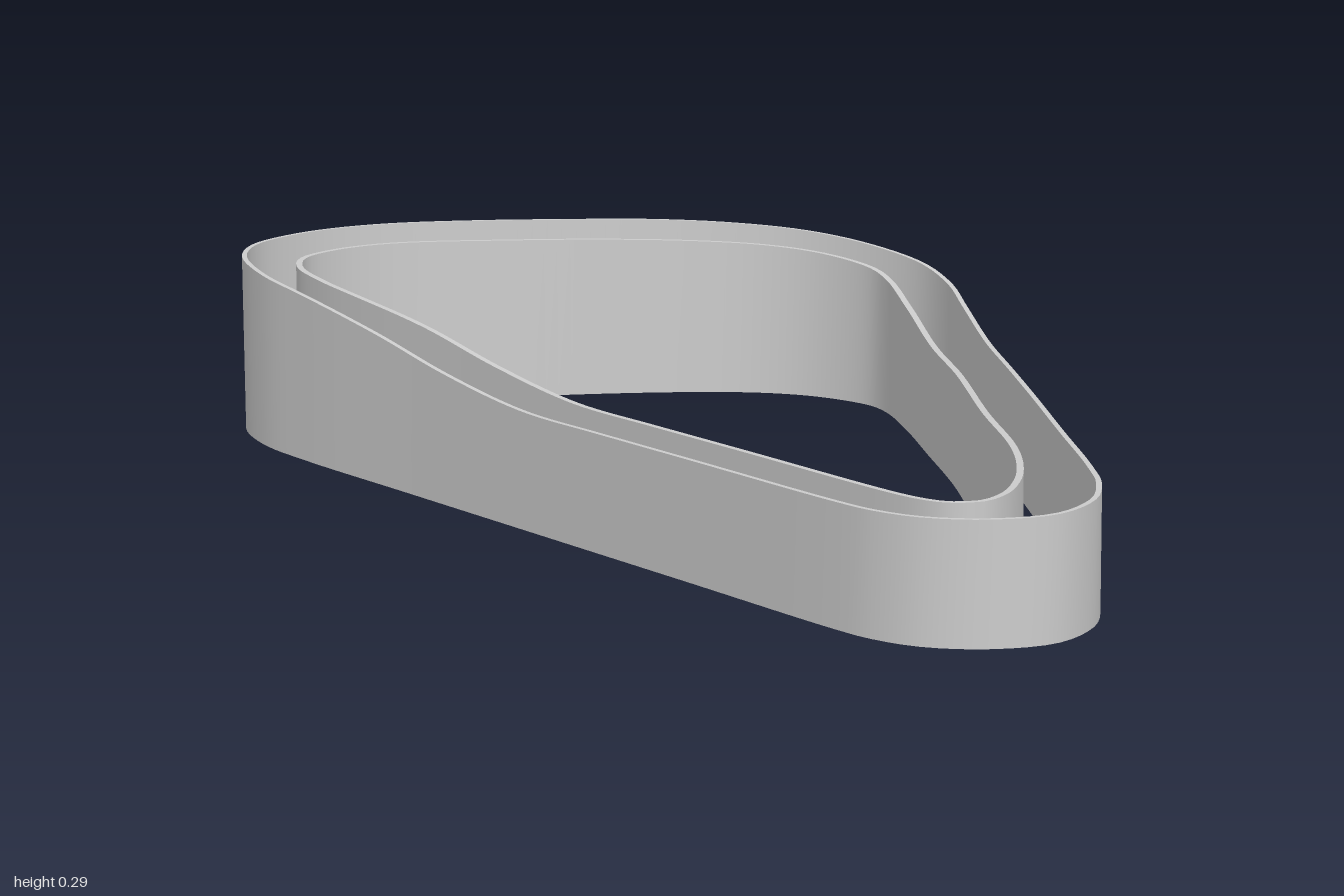
import * as THREE from 'three';

// Plan outlines as [x, z], running left side -> back -> right -> front tip
const OUTER = [
  [-0.543, -0.3], [-0.543, -0.6], [-0.533, -0.74], [-0.49, -0.87], [-0.42, -0.95], [-0.33, -0.988],
  [-0.24, -1], [-0.13, -0.984], [0, -0.93], [0.135, -0.86], [0.27, -0.787], [0.375, -0.708],
  [0.463, -0.612], [0.518, -0.5], [0.54, -0.378], [0.518, -0.276], [0.463, -0.17], [0.348, 0.03],
  [0.163, 0.34], [0, 0.606], [-0.12, 0.803], [-0.183, 0.894], [-0.262, 0.968], [-0.357, 1],
  [-0.447, 0.968], [-0.51, 0.904], [-0.537, 0.83], [-0.543, 0.766], [-0.543, 0.4],
];
const INNER = [
  [-0.45, -0.3], [-0.45, -0.6], [-0.443, -0.71], [-0.42, -0.814], [-0.373, -0.878], [-0.31, -0.905],
  [-0.24, -0.913], [-0.16, -0.9], [0, -0.826], [0.135, -0.756], [0.27, -0.67], [0.363, -0.59],
  [0.418, -0.505], [0.444, -0.394], [0.432, -0.33], [0.375, -0.208], [0.27, -0.017], [0.163, 0.175],
  [0, 0.436], [-0.115, 0.633], [-0.193, 0.74], [-0.262, 0.814], [-0.33, 0.865], [-0.384, 0.88],
  [-0.427, 0.856], [-0.443, 0.819], [-0.45, 0.766], [-0.45, 0.4],
];

// Rim height at the depths z = 0.2, 0, -0.2 ... -1
const OUTER_RIM = [0.178, 0.18, 0.203, 0.238, 0.266, 0.283, 0.29];
const INNER_RIM = [0.178, 0.18, 0.203, 0.236, 0.256, 0.268, 0.274];

function rimHeight(table, z) {
  const f = THREE.MathUtils.clamp((0.2 - z) / 0.2, 0, 5.9999);
  const i = Math.floor(f), t = f - i;
  const h = (k) => table[THREE.MathUtils.clamp(k, 0, 6)];
  const m0 = (h(i + 1) - h(i - 1)) / 2, m1 = (h(i + 2) - h(i)) / 2;
  const t2 = t * t, t3 = t2 * t;
  return (2 * t3 - 3 * t2 + 1) * h(i) + (t3 - 2 * t2 + t) * m0 + (3 * t2 - 2 * t3) * h(i + 1) + (t3 - t2) * m1;
}

// Thin closed wall following an outline, with a rim that rises to the back
function makeWall(name, outline, rim, thickness, material) {
  const n = 200;
  const curve = new THREE.CatmullRomCurve3(
    outline.map(([x, z]) => new THREE.Vector3(x, 0, z)), true, 'centripetal');
  const sections = [];
  for (let i = 0; i < n; i++) {
    const p = curve.getPointAt(i / n), t = curve.getTangentAt(i / n);
    const x = p.x - t.z * thickness, z = p.z + t.x * thickness;
    const h = rimHeight(rim, p.z);
    sections.push([[p.x, 0, p.z], [p.x, h, p.z], [x, h, z], [x, 0, z]]);
  }
  // Separate strips keep the rim edges sharp and the sides smooth
  const positions = [], index = [];
  for (let k = 0; k < 4; k++) {
    const base = positions.length / 3;
    for (let i = 0; i < n; i++) {
      positions.push(...sections[i][k], ...sections[i][(k + 1) % 4]);
      const a = base + 2 * i, c = base + 2 * ((i + 1) % n);
      index.push(a, a + 1, c, c, a + 1, c + 1);
    }
  }
  const geometry = new THREE.BufferGeometry();
  geometry.setAttribute('position', new THREE.Float32BufferAttribute(positions, 3));
  geometry.setIndex(index);
  geometry.computeVertexNormals();
  const mesh = new THREE.Mesh(geometry, material);
  mesh.name = name;
  return mesh;
}

export function createModel() {
  const group = new THREE.Group();
  group.name = 'doubleWalledRing';
  const material = new THREE.MeshStandardMaterial({ color: 0xcccccc });
  group.add(makeWall('outerWall', OUTER, OUTER_RIM, 0.008, material));
  group.add(makeWall('innerWall', INNER, INNER_RIM, 0.01, material));
  return group;
}
